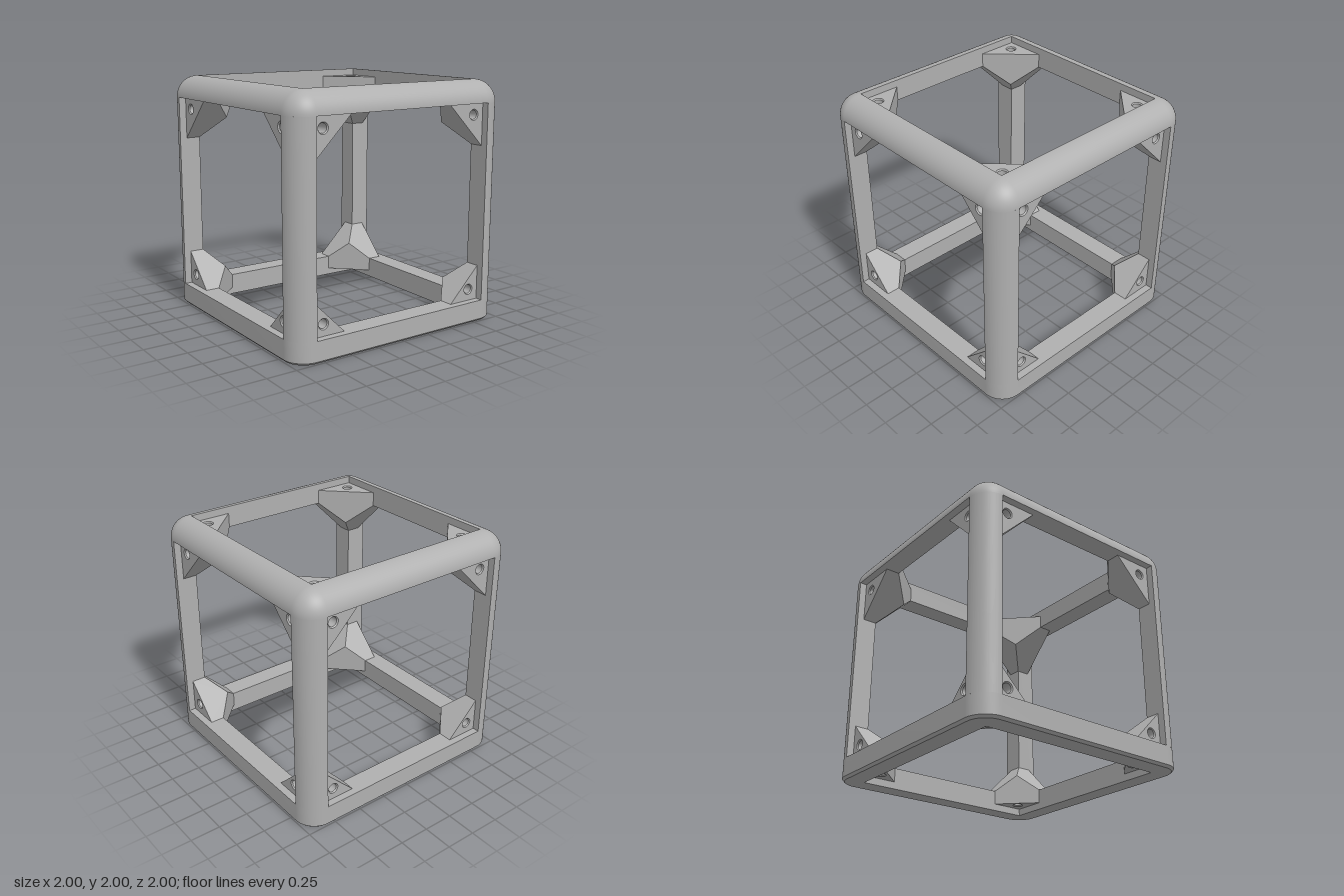
import * as THREE from 'three';
import { toCreasedNormals } from 'three/addons/utils/BufferGeometryUtils.js';

const IN = 0.82;        // half width of the square openings
const R = 0.18;         // bar thickness and outer rounding radius
const PLATE = 0.94;     // distance of the recessed gusset plates from the centre
const HOLE = 0.725, HOLE_R = 0.045;
const ARC = 20;         // steps per rounded quarter

const gray = new THREE.MeshStandardMaterial({ color: 0xb0b0b0 });
gray.name = 'gray plastic';

function mesh(geometry, name) {
  const m = new THREE.Mesh(geometry, gray);
  m.name = name;
  return m;
}

// Sweep a closed (offset, y) profile around a rounded square
function ringGeometry(profile) {
  const rings = [];
  const centres = [[1, 1], [-1, 1], [-1, -1], [1, -1]];
  centres.forEach(([sx, sz], q) => {
    for (let i = 0; i <= ARC; i++) {
      const t = (q + i / ARC) * Math.PI / 2;
      rings.push(profile.map(([d, y]) => new THREE.Vector3(
        sx * IN + d * Math.cos(t), y, sz * IN + d * Math.sin(t))));
    }
  });
  const pos = [];
  const addTriangle = (a, b, c) => {
    if (new THREE.Triangle(a, b, c).getArea() < 1e-8) return;
    for (const v of [a, b, c]) pos.push(v.x, v.y, v.z);
  };
  for (let i = 0; i < rings.length; i++) {
    const p = rings[i], n = rings[(i + 1) % rings.length];
    for (let j = 0; j < profile.length; j++) {
      const k = (j + 1) % profile.length;
      addTriangle(p[j], p[k], n[k]);
      addTriangle(p[j], n[k], n[j]);
    }
  }
  const g = new THREE.BufferGeometry();
  g.setAttribute('position', new THREE.Float32BufferAttribute(pos, 3));
  return toCreasedNormals(g, 0.4);
}

// Upright bar: a quarter disc with its square edge facing inward
function postGeometry() {
  const s = new THREE.Shape();
  s.moveTo(0, 0);
  s.lineTo(R, 0);
  s.absarc(0, 0, R, 0, Math.PI / 2, false);
  s.closePath();
  const g = new THREE.ExtrudeGeometry(s, { depth: 2 - 2 * R, bevelEnabled: false, curveSegments: ARC });
  g.rotateX(-Math.PI / 2).translate(IN, R, -IN);
  return toCreasedNormals(g, 0.4);
}

// Recessed triangular plate with a hole
function plateGeometry(c) {
  const k = c - IN;
  const s = new THREE.Shape([[IN, IN], [k, IN], [IN, k]].map(([x, y]) => new THREE.Vector2(x, y)));
  const h = new THREE.Path();
  h.absarc(HOLE, HOLE, HOLE_R, 0, Math.PI * 2, true);
  s.holes.push(h);
  return new THREE.ShapeGeometry(s, 16).translate(0, 0, PLATE);
}

// Sloping inner face of a gusset, in the plane x + y = c
function facetGeometry(c) {
  const k = c - IN, m = c / 2;
  const g = new THREE.BufferGeometry();
  g.setAttribute('position', new THREE.Float32BufferAttribute([
    m, m, m, IN, k, IN, IN, k, PLATE, k, IN, PLATE, k, IN, IN], 3));
  g.setIndex([0, 1, 2, 0, 2, 3, 0, 3, 4]);
  g.computeVertexNormals();
  return g;
}

// Blind screw hole with a chamfered rim
function pocketGeometry() {
  const pts = [[HOLE_R, 0], [0.037, -0.01], [0.037, -0.12], [0, -0.12]]
    .map(([x, y]) => new THREE.Vector2(x, y));
  const g = new THREE.LatheGeometry(pts, 32);
  g.rotateX(Math.PI / 2).translate(HOLE, HOLE, PLATE);
  return toCreasedNormals(g, 0.4);
}

// Corner gusset: the same plate, slope and hole on each of three axes
function gusset(c, pocket) {
  const group = new THREE.Group();
  const plate = plateGeometry(c), facet = facetGeometry(c);
  const diagonal = new THREE.Vector3(1, 1, 1).normalize();
  for (let i = 0; i < 3; i++) {
    const side = new THREE.Group();
    side.name = 'gussetSide';
    side.add(mesh(plate, 'gussetPlate'), mesh(facet, 'gussetSlope'), mesh(pocket, 'screwHole'));
    side.quaternion.setFromAxisAngle(diagonal, i * Math.PI * 2 / 3);
    group.add(side);
  }
  return group;
}

export function createModel() {
  const model = new THREE.Group();
  model.name = 'cubeFrame';

  // Flat base ring with a small chamfer below
  model.add(mesh(ringGeometry([[0, 0], [R - 0.02, 0], [R, 0.02], [R, R], [0, R]]), 'baseRing'));

  // Rounded top ring
  const top = [[0, 2 - R]];
  for (let i = 0; i <= ARC; i++) {
    const t = i / ARC * Math.PI / 2;
    top.push([i === ARC ? 0 : R * Math.cos(t), 2 - R + R * Math.sin(t)]);
  }
  model.add(mesh(ringGeometry(top), 'topRing'));

  // Posts and corner gussets
  const post = postGeometry(), pocket = pocketGeometry();
  for (let i = 0; i < 4; i++) {
    const turn = i * Math.PI / 2;
    const p = mesh(post, 'cornerPost');
    p.rotation.y = turn;
    model.add(p);

    const upper = gusset(1.29, pocket);
    upper.name = 'upperGusset';
    upper.position.y = 1;
    upper.rotation.y = turn;

    const lower = new THREE.Group();
    lower.name = 'lowerGusset';
    const flipped = gusset(1.355, pocket);
    flipped.name = 'lowerGussetBody';
    flipped.rotation.x = Math.PI;
    lower.add(flipped);
    lower.position.y = 1;
    lower.rotation.y = turn;
    model.add(upper, lower);
  }
  return model;
}
